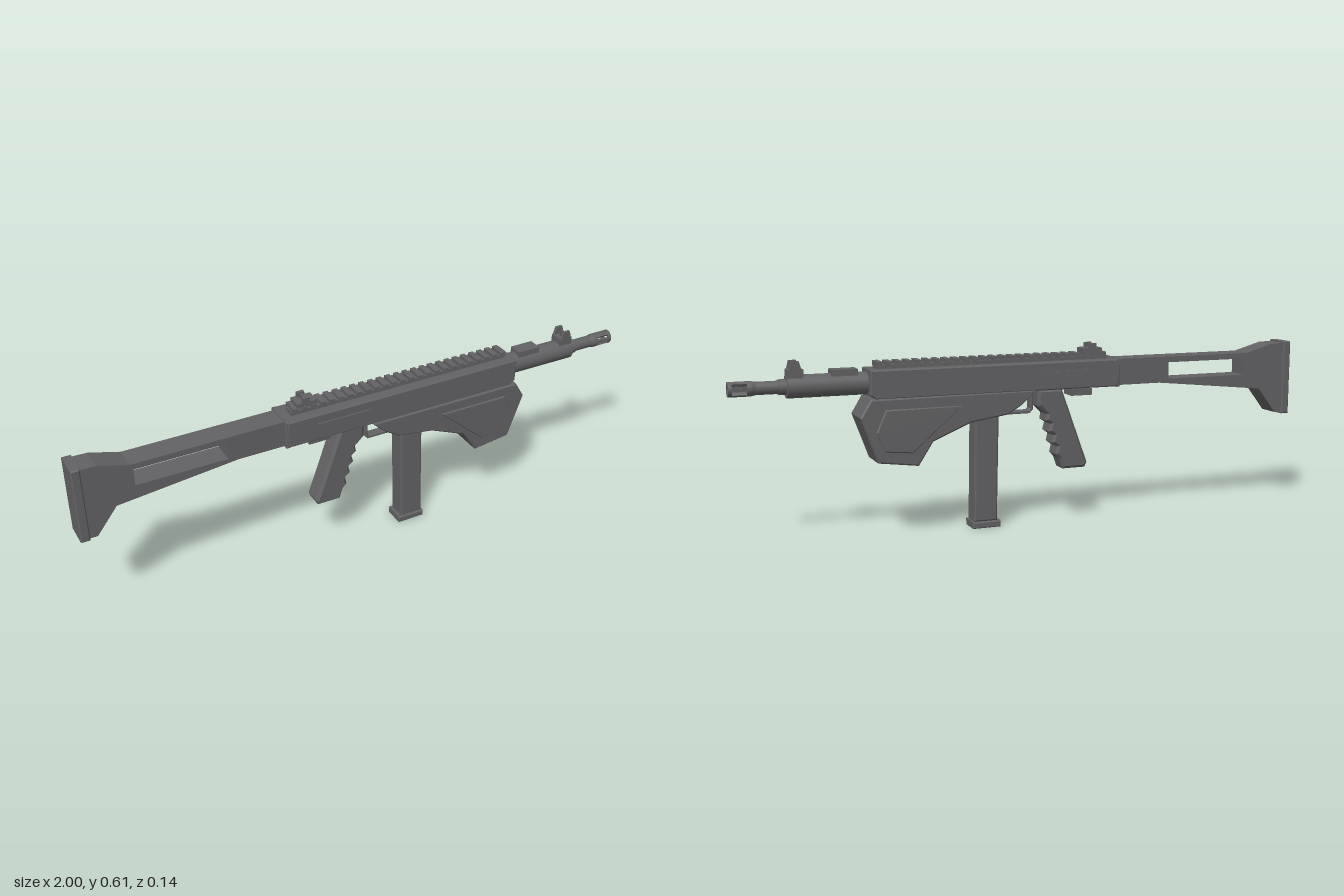
import * as THREE from 'three';

export function createModel() {
  const model = new THREE.Group();
  const gunmetal = new THREE.MeshStandardMaterial({ color: 0x626264 });
  gunmetal.name = 'gunmetal';
  const axisY = 0.507; // barrel height

  function add(name, geometry, x = 0, y = 0, z = 0) {
    const mesh = new THREE.Mesh(geometry, gunmetal);
    mesh.name = name;
    mesh.position.set(x, y, z);
    model.add(mesh);
    return mesh;
  }
  // box given by its limits in x and y and by its half width
  function box(name, x0, x1, y0, y1, half, z = 0) {
    return add(name, new THREE.BoxGeometry(x1 - x0, y1 - y0, half * 2), (x0 + x1) / 2, (y0 + y1) / 2, z);
  }
  // side profile extruded symmetrically in z, with bevelled side edges
  function slab(name, points, half, bevel = 0.005, hole = null) {
    const shape = new THREE.Shape(points.map(p => new THREE.Vector2(...p)));
    if (hole) shape.holes.push(new THREE.Path(hole.map(p => new THREE.Vector2(...p))));
    const geometry = new THREE.ExtrudeGeometry(shape, {
      depth: 2 * (half - bevel), bevelEnabled: bevel > 0, bevelThickness: bevel,
      bevelSize: bevel, bevelOffset: -bevel, bevelSegments: 1, curveSegments: 6,
    });
    geometry.translate(0, 0, -(half - bevel));
    return add(name, geometry);
  }
  // cylinder along x
  function rod(name, x0, x1, r0, r1 = r0, sides = 24) {
    const geometry = new THREE.CylinderGeometry(r1, r0, x1 - x0, sides).rotateZ(-Math.PI / 2);
    return add(name, geometry, (x0 + x1) / 2, axisY);
  }
  // hollow ring along x
  function ring(name, x0, x1, inner, outer) {
    const shape = new THREE.Shape().absarc(0, 0, outer, 0, Math.PI * 2);
    shape.holes.push(new THREE.Path().absarc(0, 0, inner, 0, Math.PI * 2, true));
    const geometry = new THREE.ExtrudeGeometry(shape, { depth: x1 - x0, bevelEnabled: false, curveSegments: 16 });
    return add(name, geometry.rotateY(Math.PI / 2), x0, axisY);
  }

  // stock with its window, and butt plate
  slab('stock', [
    [-0.972, 0.58], [-0.92, 0.578], [-0.82, 0.55], [-0.30, 0.55], [-0.30, 0.46],
    [-0.47, 0.46], [-0.875, 0.418], [-0.945, 0.328], [-0.972, 0.328],
  ], 0.041, 0, [[-0.81, 0.472], [-0.505, 0.472], [-0.505, 0.53], [-0.81, 0.53]]);
  slab('buttPlate', [[-1, 0.585], [-0.97, 0.585], [-0.97, 0.322], [-1, 0.322]], 0.047, 0.004);

  // receiver
  slab('receiver', [
    [-0.305, 0.552], [0.563, 0.552], [0.563, 0.472], [0.545, 0.458], [-0.305, 0.458],
  ], 0.058, 0.004);
  slab('rearCollar', [[-0.31, 0.554], [-0.298, 0.554], [-0.298, 0.456], [-0.31, 0.456]], 0.056, 0.003);
  for (const side of [1, -1]) {
    box('sidePlate', -0.2, -0.01, 0.487, 0.521, 0.004, side * 0.059);
  }

  // top rail with teeth
  box('railBase', -0.275, 0.535, 0.548, 0.564, 0.022);
  for (let i = 0; i < 25; i++) {
    const x = -0.27 + i * 0.0328;
    box('railTooth', x, x + 0.018, 0.56, 0.576, 0.029);
  }

  // rear sight
  box('rearSightBase', -0.255, -0.185, 0.574, 0.59, 0.026);
  for (const z of [-0.021, 0.021]) box('rearSightEar', -0.235, -0.21, 0.588, 0.606, 0.006, z);
  box('rearSightLeaf', -0.228, -0.218, 0.588, 0.603, 0.02);

  // lower fore-end with raised side panels
  slab('foreEnd', [
    [0.0, 0.46], [0.565, 0.46], [0.60, 0.402], [0.545, 0.253], [0.41, 0.235],
    [0.36, 0.312], [0.23, 0.366], [0.10, 0.385], [0.05, 0.415],
  ], 0.064, 0.005);
  slab('foreEndPanel', [
    [0.262, 0.425], [0.43, 0.279], [0.522, 0.288], [0.55, 0.353], [0.518, 0.425],
  ], 0.069, 0.004);

  // pistol grip with finger grooves at the front
  slab('pistolGrip', [
    [-0.105, 0.458], [-0.018, 0.458], [-0.018, 0.402], [-0.05, 0.372], [-0.046, 0.35],
    [-0.064, 0.338], [-0.057, 0.312], [-0.076, 0.298], [-0.07, 0.272], [-0.089, 0.258],
    [-0.083, 0.232], [-0.098, 0.215], [-0.11, 0.18], [-0.192, 0.18], [-0.2, 0.198],
  ], 0.036, 0.009);
  box('gripLatch', -0.218, -0.14, 0.43, 0.452, 0.03);
  box('gripLatchStem', -0.205, -0.155, 0.45, 0.462, 0.02);

  // trigger and guard
  slab('triggerGuard', [
    [-0.006, 0.462], [-0.006, 0.39], [0.006, 0.377], [0.135, 0.377], [0.135, 0.387],
    [0.01, 0.387], [0.004, 0.394], [0.004, 0.462],
  ], 0.016, 0.002);
  slab('trigger', [
    [0.03, 0.462], [0.055, 0.462], [0.052, 0.43], [0.062, 0.402], [0.052, 0.4], [0.038, 0.428],
  ], 0.008, 0);

  // magazine
  slab('magazine', [[0.122, 0.42], [0.205, 0.42], [0.212, 0.022], [0.131, 0.022]], 0.034, 0.005);
  slab('magazineBase', [[0.12, 0], [0.218, 0], [0.218, 0.022], [0.12, 0.022]], 0.039, 0.003);

  // barrel and shroud
  rod('shroud', 0.55, 0.82, 0.037);
  rod('barrel', 0.81, 0.925, 0.021);
  rod('barrelStep', 0.82, 0.845, 0.025);
  box('gasBlock', 0.595, 0.68, 0.535, 0.556, 0.025);

  // slotted muzzle
  rod('muzzleNeck', 0.905, 0.93, 0.019, 0.024);
  ring('muzzleRear', 0.928, 0.942, 0.012, 0.024);
  ring('muzzleFront', 0.988, 1.0, 0.015, 0.024);
  for (let i = 0; i < 6; i++) {
    const angle = (i + 0.5) * Math.PI / 3;
    const bar = box('muzzleBar', 0.938, 0.992, 0, 0.008, 0.006);
    bar.position.y = axisY + 0.0195 * Math.cos(angle);
    bar.position.z = 0.0195 * Math.sin(angle);
    bar.rotation.x = angle;
  }

  // front sight
  box('frontSightBase', 0.768, 0.818, 0.535, 0.562, 0.024);
  for (const z of [-0.022, 0.022]) {
    const ear = slab('frontSightEar', [[0.772, 0.555], [0.814, 0.555], [0.806, 0.588], [0.782, 0.588]], 0.005, 0);
    ear.position.z = z;
  }
  box('frontSightPost', 0.787, 0.797, 0.56, 0.582, 0.004);

  return model;
}
